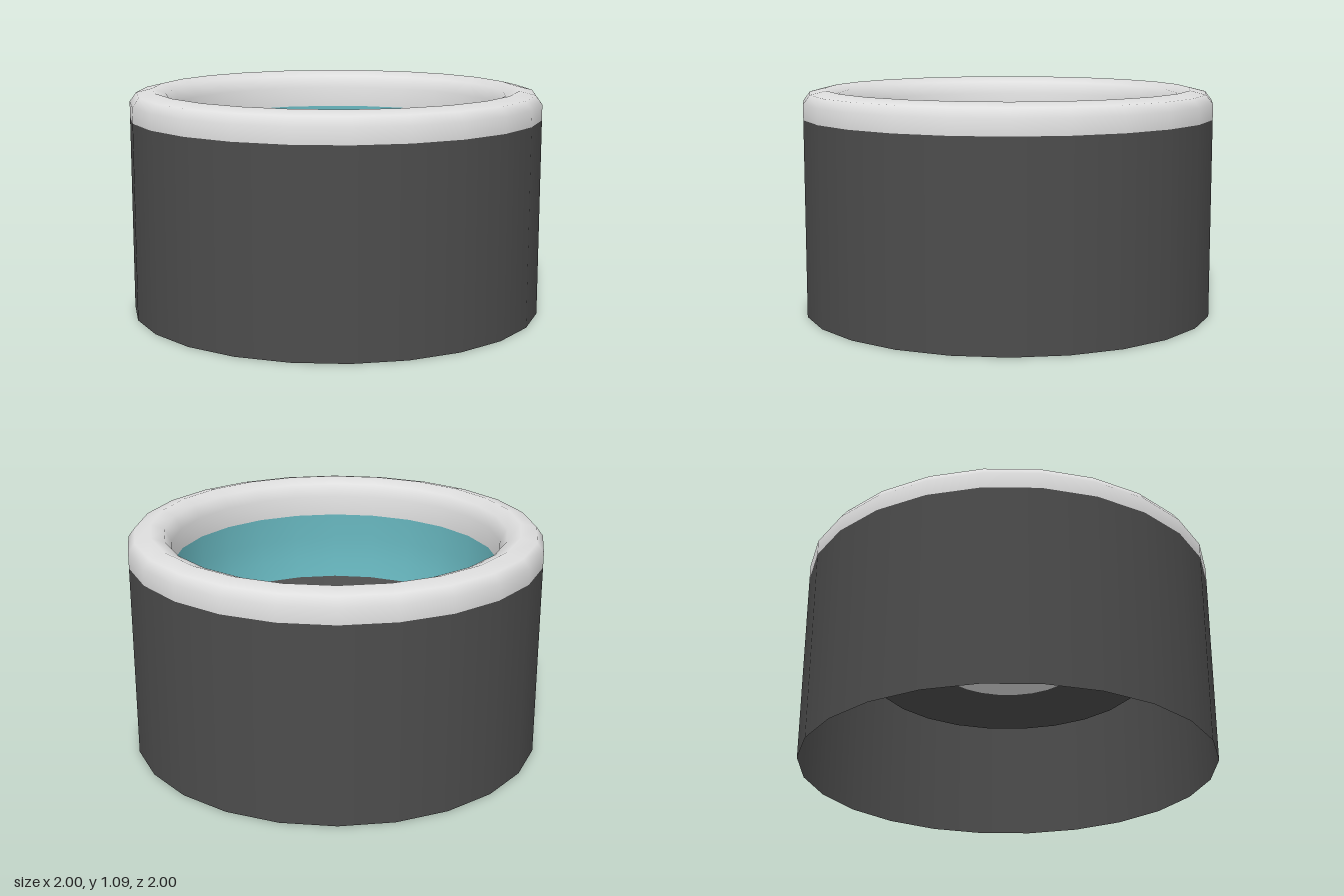
import * as THREE from 'three';

const SIDES = 24;

function paint(name, color) {
  const m = new THREE.MeshStandardMaterial({ color, side: THREE.DoubleSide });
  m.name = name;
  return m;
}

// Revolves [radius, height] points; run them up the outside and down the inside
function ring(name, profile, material) {
  const points = profile.map(([r, y]) => new THREE.Vector2(r, y));
  const mesh = new THREE.Mesh(new THREE.LatheGeometry(points, SIDES), material);
  mesh.name = name;
  return mesh;
}

export function createModel() {
  const dark = paint('charcoal', 0x4c4c4c);
  const light = paint('light grey', 0xdedede);
  const teal = paint('teal', 0x66b4bc);

  const model = new THREE.Group();
  model.name = 'ringedCup';

  // Hollow outer wall, open underneath
  model.add(ring('outerWall', [[1, 0], [1, 0.95]], dark));

  // Rounded lip rolling over into the opening
  model.add(ring('rim', [
    [1, 0.95], [1, 1.025], [0.968, 1.068], [0.89, 1.087],
    [0.825, 1.062], [0.793, 1.0], [0.79, 0.9],
  ], light));

  // Tapering coloured lining
  model.add(ring('lining', [[0.79, 0.9], [0.785, 0.77], [0.77, 0.66], [0.745, 0.565]], teal));

  // Sloped step and gently raised floor
  model.add(ring('floorStep', [[0.745, 0.565], [0.68, 0.485]], dark));
  model.add(ring('floor', [[0.68, 0.485], [0.56, 0.505], [0.44, 0.54], [0.38, 0.545], [0.34, 0.535]], dark));

  // Flat centre disc
  const disc = new THREE.Mesh(new THREE.CircleGeometry(0.34, SIDES), light);
  disc.name = 'centreDisc';
  disc.rotation.x = -Math.PI / 2;
  disc.position.y = 0.535;
  model.add(disc);

  return model;
}
